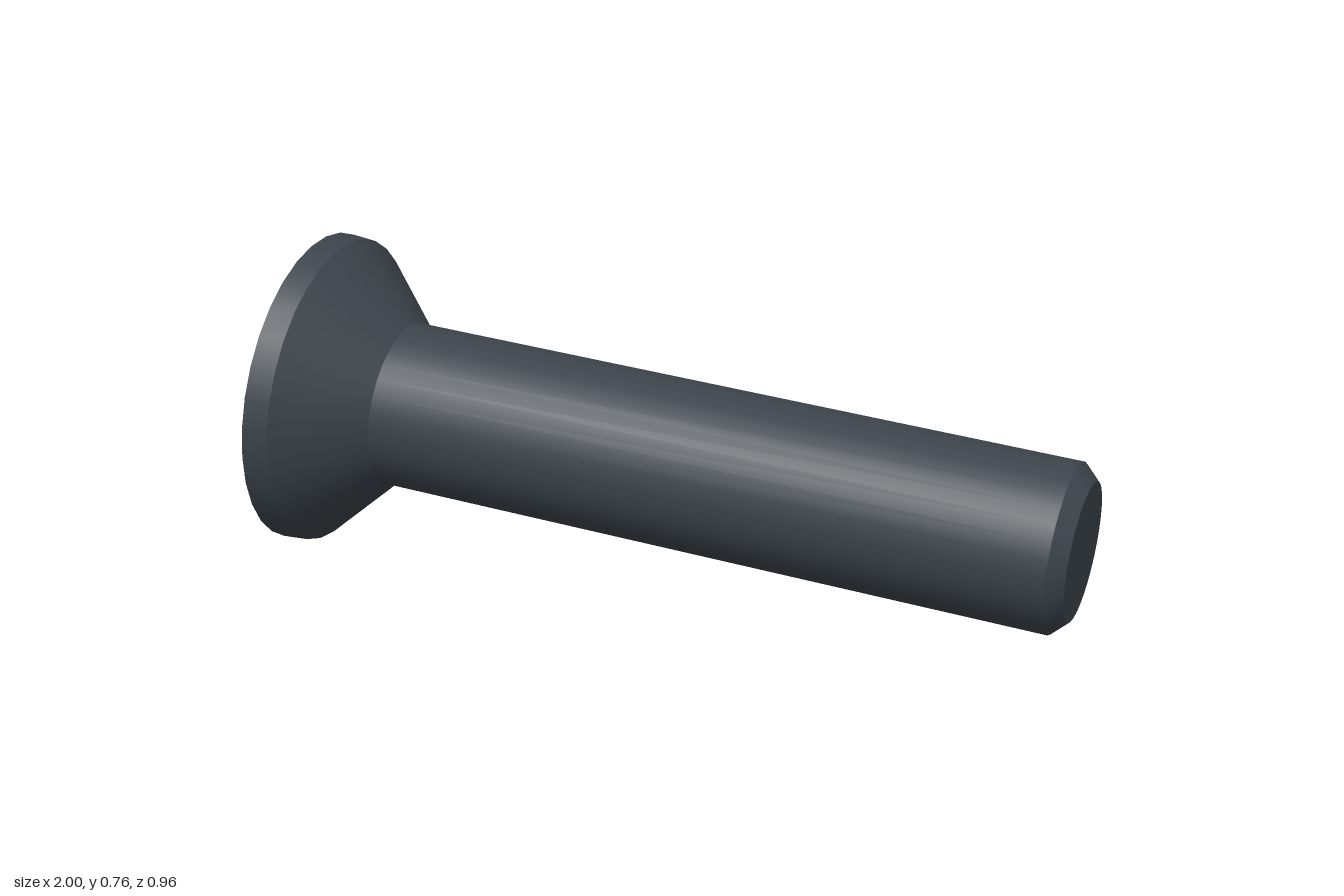
import * as THREE from 'three';

const SIDES = 32;
const HEAD_R = 0.38, RECESS_DEPTH = 0.16;

// Outline of a plus sign, counter-clockwise
function crossPoints(arm, half) {
  const pts = [];
  for (let i = 0; i < 4; i++) {
    const origin = new THREE.Vector2();
    for (const [x, y] of [[half, -half], [arm, -half], [arm, half]]) {
      pts.push(new THREE.Vector2(x, y).rotateAround(origin, i * Math.PI / 2));
    }
  }
  return pts;
}

// Band of revolution along z between two [radius, depth] rings
function band(a, b) {
  const pts = [a, b].map(([r, depth]) => new THREE.Vector2(r, -depth));
  return new THREE.LatheGeometry(pts, SIDES).rotateX(Math.PI / 2);
}

export function createModel() {
  const steel = new THREE.MeshStandardMaterial({ color: 0x3c444b });
  steel.name = 'darkSteel';
  const group = new THREE.Group();
  group.name = 'countersunkScrew';
  const screw = new THREE.Group();
  screw.name = 'screwBody';
  group.add(screw);
  const add = (name, geometry) => {
    const mesh = new THREE.Mesh(geometry, steel);
    mesh.name = name;
    screw.add(mesh);
    return mesh;
  };

  // Turned surfaces, from the tip up to the rim of the head
  const rings = [[0, 1.928], [0.163, 1.928], [0.2, 1.89], [0.2, 0.238], [0.375, 0.062], [HEAD_R, 0]];
  ['tipFace', 'tipChamfer', 'shaft', 'headCone', 'headRim'].forEach((name, i) => {
    add(name, band(rings[i], rings[i + 1]));
  });

  // Flat head face with a cross-shaped opening
  const outer = crossPoints(0.2, 0.054);
  const inner = crossPoints(0.085, 0.038);
  const rim = [];
  for (let i = 0; i < SIDES; i++) {
    const a = i / SIDES * Math.PI * 2;
    rim.push(new THREE.Vector2(Math.cos(a), Math.sin(a)).multiplyScalar(HEAD_R));
  }
  const face = new THREE.Shape(rim);
  face.holes.push(new THREE.Path(outer));
  add('headFace', new THREE.ShapeGeometry(face));

  // Tapered walls of the drive recess
  const walls = [];
  outer.forEach((t0, i) => {
    const j = (i + 1) % outer.length;
    const t1 = outer[j], b0 = inner[i], b1 = inner[j], d = -RECESS_DEPTH;
    walls.push(t0.x, t0.y, 0, t1.x, t1.y, 0, b1.x, b1.y, d);
    walls.push(t0.x, t0.y, 0, b1.x, b1.y, d, b0.x, b0.y, d);
  });
  const wallGeometry = new THREE.BufferGeometry();
  wallGeometry.setAttribute('position', new THREE.Float32BufferAttribute(walls, 3));
  wallGeometry.computeVertexNormals();
  add('recessWalls', wallGeometry);
  add('recessFloor', new THREE.ShapeGeometry(new THREE.Shape(inner))).position.z = -RECESS_DEPTH;

  // Lay the screw down, resting on its head and tip
  const out = new THREE.Vector3(-0.9735, 0.0955, -0.2074).normalize();
  const side = new THREE.Vector3(0, 1, 0).cross(out).normalize();
  const up = out.clone().cross(side);
  screw.quaternion.setFromRotationMatrix(new THREE.Matrix4().makeBasis(side, up, out));
  screw.position.set(-0.914, 0.381, -0.11);
  return group;
}
